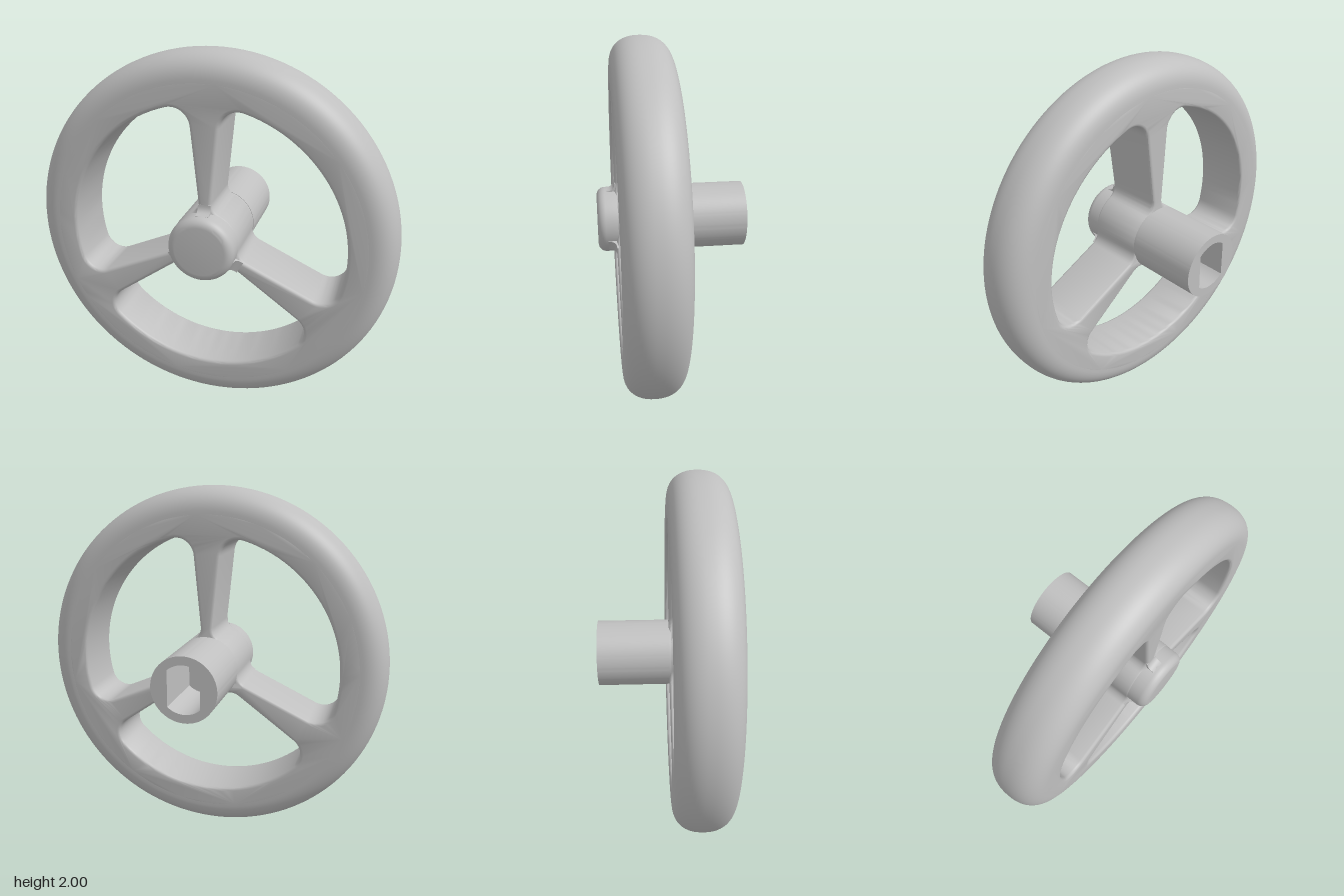
import * as THREE from 'three';
import { toCreasedNormals } from 'three/addons/utils/BufferGeometryUtils.js';

const BACK = -0.015, FRONT = 0.31;          // faces of the wheel
const MID = (BACK + FRONT) / 2, HALF = (FRONT - BACK) / 2;
const HUB_R = 0.183, RIM_IN = 0.75, EDGE = 0.02, FACE_R = 0.855;

// points on an arc, always taking the short way round
function arc(cx, cy, r, a0, a1, n) {
  const d = Math.atan2(Math.sin(a1 - a0), Math.cos(a1 - a0));
  return Array.from({ length: n + 1 }, (_, i) => {
    const a = a0 + (d * i) / n;
    return new THREE.Vector2(cx + r * Math.cos(a), cy + r * Math.sin(a));
  });
}

// outline of the opening to the right of the upper spoke, with filleted corners
function openingPoints() {
  const a = 0.013, b = 0.1, s = Math.hypot(1, b);   // spoke edge: x = a + b*y
  const side = Math.atan2(b, -1);                   // direction from opening to spoke
  const axis = Math.PI / 6;
  const centre = (dist, r) => {
    const k = a + r * s;
    const y = (-b * k + Math.sqrt(b * b * k * k + (1 + b * b) * (dist * dist - k * k))) / (1 + b * b);
    return { x: k + b * y, y, ang: Math.atan2(y, k + b * y) };
  };
  const rHub = 0.07, rRim = 0.1;
  const h = centre(HUB_R + rHub, rHub), c = centre(RIM_IN - rRim, rRim);
  const half = [
    ...arc(0, 0, HUB_R, axis, h.ang, 6),
    ...arc(h.x, h.y, rHub, h.ang + Math.PI, side, 8).slice(1),
    ...arc(c.x, c.y, rRim, side, c.ang, 12),
    ...arc(0, 0, RIM_IN, c.ang, axis, 14).slice(1),
  ];
  // mirror across the axis of the opening
  const cos = Math.cos(2 * axis), sin = Math.sin(2 * axis);
  const other = half.slice(1, -1).reverse()
    .map((p) => new THREE.Vector2(p.x * cos + p.y * sin, p.x * sin - p.y * cos));
  return [...half, ...other];
}

// lathe turned around the z axis; points are (radius, z)
function latheZ(points, segments) {
  const g = new THREE.LatheGeometry(points.map(([r, z]) => new THREE.Vector2(r, z)), segments);
  return g.rotateX(Math.PI / 2);
}

export function createModel() {
  const group = new THREE.Group();
  const grey = new THREE.MeshStandardMaterial({ color: 0xbfbfbf });
  grey.name = 'plain grey';
  const add = (name, geometry) => {
    const mesh = new THREE.Mesh(geometry, grey);
    mesh.name = name;
    group.add(mesh);
    return mesh;
  };

  // crowned outer rim
  const rim = [];
  for (let i = 0; i <= 32; i++) {
    const t = -Math.PI / 2 + (Math.PI * i) / 32, p = 2 / 2.3;
    const c = Math.max(0, Math.cos(t)), n = Math.sin(t);
    rim.push([FACE_R + (1 - FACE_R) * Math.pow(c, p), MID + HALF * Math.sign(n) * Math.pow(Math.abs(n), p)]);
  }
  add('outerRim', latheZ(rim, 128));

  // inner rim and three tapered spokes
  const plate = new THREE.Shape(arc(0, 0, FACE_R + EDGE, 0, 3.1, 60)
    .concat(arc(0, 0, FACE_R + EDGE, 3.2, 6.2, 60)));
  const opening = openingPoints();
  for (let i = 0; i < 3; i++) {
    const turn = (i * Math.PI * 2) / 3;
    plate.holes.push(new THREE.Path(opening.map((p) => p.clone().rotateAround(new THREE.Vector2(), turn))));
  }
  const spokes = new THREE.ExtrudeGeometry(plate, {
    depth: FRONT - BACK - 2 * EDGE, bevelEnabled: true, bevelThickness: EDGE,
    bevelSize: EDGE, bevelOffset: -EDGE, bevelSegments: 4,
  });
  spokes.translate(0, 0, BACK + EDGE);
  add('spokesAndInnerRim', toCreasedNormals(spokes, 0.6));

  // hub with rounded front cap; its back end closes the bore
  const hub = [[0, -0.05], [HUB_R - 0.002, -0.05]];
  hub.push([HUB_R - 0.002, 0.3]);
  for (let i = 0; i <= 8; i++) {
    const t = (i / 8) * (Math.PI / 2);
    hub.push([HUB_R - 0.047 + 0.045 * Math.cos(t), 0.365 + 0.045 * Math.sin(t)]);
  }
  hub.push([0, 0.41]);
  add('hub', toCreasedNormals(latheZ(hub, 64), 0.6));

  // rear shaft with a bore that has two flat sides
  const sleeve = new THREE.Shape().absarc(0, 0, HUB_R, 0, Math.PI * 2, false);
  const boreR = 0.135, flat = Math.acos(0.09 / boreR);
  sleeve.holes.push(new THREE.Path([
    ...arc(0, 0, boreR, flat, Math.PI - flat, 16),
    ...arc(0, 0, boreR, Math.PI + flat, -flat, 16),
  ]));
  const shaft = new THREE.ExtrudeGeometry(sleeve, { depth: 0.41 + BACK, bevelEnabled: false, curveSegments: 64 });
  shaft.translate(0, 0, -0.41);
  add('rearShaft', toCreasedNormals(shaft, 0.6));

  // small fillets where the front of each spoke meets the hub
  const web = new THREE.Shape();
  web.moveTo(0.16, 0.3);
  web.lineTo(0.225, 0.3);
  web.lineTo(0.225, FRONT);
  web.quadraticCurveTo(0.182, FRONT, 0.18, 0.355);
  web.lineTo(0.16, 0.355);
  const fillet = new THREE.ExtrudeGeometry(web, { depth: 0.07, bevelEnabled: false, curveSegments: 8 });
  fillet.translate(0, 0, -0.035).rotateX(Math.PI / 2);   // profile now lies in x and z
  const filletSmooth = toCreasedNormals(fillet, 0.6);
  for (let i = 0; i < 3; i++) {
    add('spokeFillet' + (i + 1), filletSmooth).rotation.z = Math.PI / 2 + (i * Math.PI * 2) / 3;
  }

  // stand the wheel on the ground
  group.children.forEach((m) => { m.position.y = 1; });
  return group;
}
